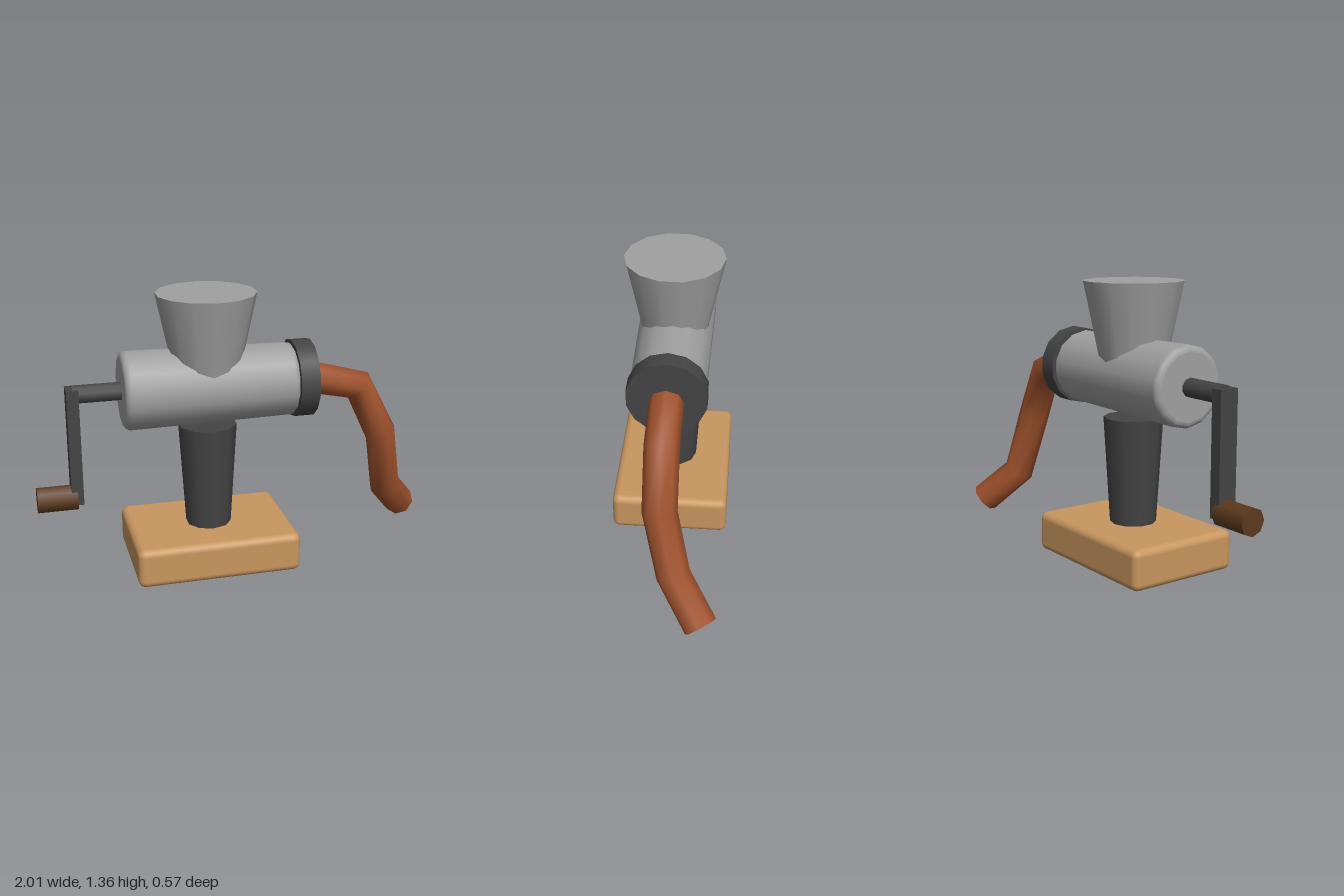
import * as THREE from 'three';
import { RoundedBoxGeometry } from 'three/addons/geometries/RoundedBoxGeometry.js';

const mat = (name, color) => new THREE.MeshStandardMaterial({ name, color });

export function createModel() {
  const group = new THREE.Group();
  const steel = mat('steel', 0xa0a0a0);
  const darkIron = mat('dark iron', 0x444444);
  const wood = mat('light wood', 0xc8965f);
  const darkWood = mat('dark wood', 0x5c3a1e);
  const sausageBrown = mat('sausage brown', 0xa0522d);

  const add = (name, geometry, material, x = 0, y = 0, z = 0) => {
    const mesh = new THREE.Mesh(geometry, material);
    mesh.name = name;
    mesh.position.set(x, y, z);
    group.add(mesh);
    return mesh;
  };
  // Turns an upright geometry so that its top points to +x
  const layDown = (g) => g.rotateY(Math.PI / 2).rotateZ(-Math.PI / 2);
  const rod = (name, material, r, x0, x1, y, sides) =>
    add(name, layDown(new THREE.CylinderGeometry(r, r, x1 - x0, sides)), material, (x0 + x1) / 2, y);

  const midX = -0.165, axisY = 0.906;

  // Base and column
  add('base', new RoundedBoxGeometry(0.8, 0.195, 0.575, 3, 0.035), wood, midX, 0.0975);
  add('column', new THREE.CylinderGeometry(0.143, 0.111, 0.53, 10), darkIron, midX, 0.445);

  // Barrel: slightly tapered, rounded at both ends
  const left = -0.58, right = 0.26, bevel = 0.03, rLeft = 0.19, rRight = 0.179;
  const profile = [new THREE.Vector2(0, left), new THREE.Vector2(rLeft - bevel, left)];
  for (let i = 0; i <= 4; i++) {
    const a = (i / 4) * Math.PI / 2;
    profile.push(new THREE.Vector2(rLeft - bevel + bevel * Math.sin(a), left + bevel - bevel * Math.cos(a)));
  }
  for (let i = 0; i <= 4; i++) {
    const a = (i / 4) * Math.PI / 2;
    profile.push(new THREE.Vector2(rRight - bevel + bevel * Math.cos(a), right - bevel + bevel * Math.sin(a)));
  }
  profile.push(new THREE.Vector2(0, right));
  add('barrel', layDown(new THREE.LatheGeometry(profile, 14)), steel, 0, axisY);

  // Hopper and outlet ring
  add('hopper', new THREE.CylinderGeometry(0.24, 0.145, 0.455, 14), steel, midX, 1.1275);
  rod('outletRing', darkIron, 0.19, 0.253, 0.348, axisY, 14);

  // Crank
  rod('crankShaft', darkIron, 0.045, -0.81, -0.56, axisY, 10);
  add('crankArm', new THREE.BoxGeometry(0.057, 0.57, 0.095), darkIron, -0.81, 0.65);
  rod('crankHandle', darkWood, 0.065, -1, -0.81, 0.39, 8);

  // Sausage: one straight piece between neighbouring points
  const path = new THREE.CatmullRomCurve3([
    [0.36, 0.9, 0], [0.605, 0.84, 0], [0.735, 0.58, 0], [0.8, 0.26, -0.065], [0.945, 0.09, -0.2],
  ].map((p) => new THREE.Vector3(...p)));
  path.getPointAt = path.getPoint;
  path.getTangentAt = path.getTangent;
  const sides = 8, pieces = 4;
  const tube = new THREE.TubeGeometry(path, pieces, 0.08, sides, false);
  add('sausage', tube, sausageBrown);

  // Flat ends, fanned from the first and last rings of the tube
  [[0, 'sausageStart'], [pieces, 'sausageEnd']].forEach(([ring, name]) => {
    const at = (j) => new THREE.Vector3().fromBufferAttribute(tube.attributes.position, ring * (sides + 1) + j);
    const outward = path.getTangent(ring / pieces).multiplyScalar(ring ? 1 : -1);
    const centre = path.getPoint(ring / pieces);
    const points = [];
    for (let j = 0; j < sides; j++) {
      let a = at(j), b = at(j + 1);
      const normal = a.clone().sub(centre).cross(b.clone().sub(centre));
      if (normal.dot(outward) < 0) [a, b] = [b, a];
      points.push(centre, a, b);
    }
    const cap = new THREE.BufferGeometry().setFromPoints(points);
    cap.computeVertexNormals();
    add(name, cap, sausageBrown);
  });

  return group;
}
